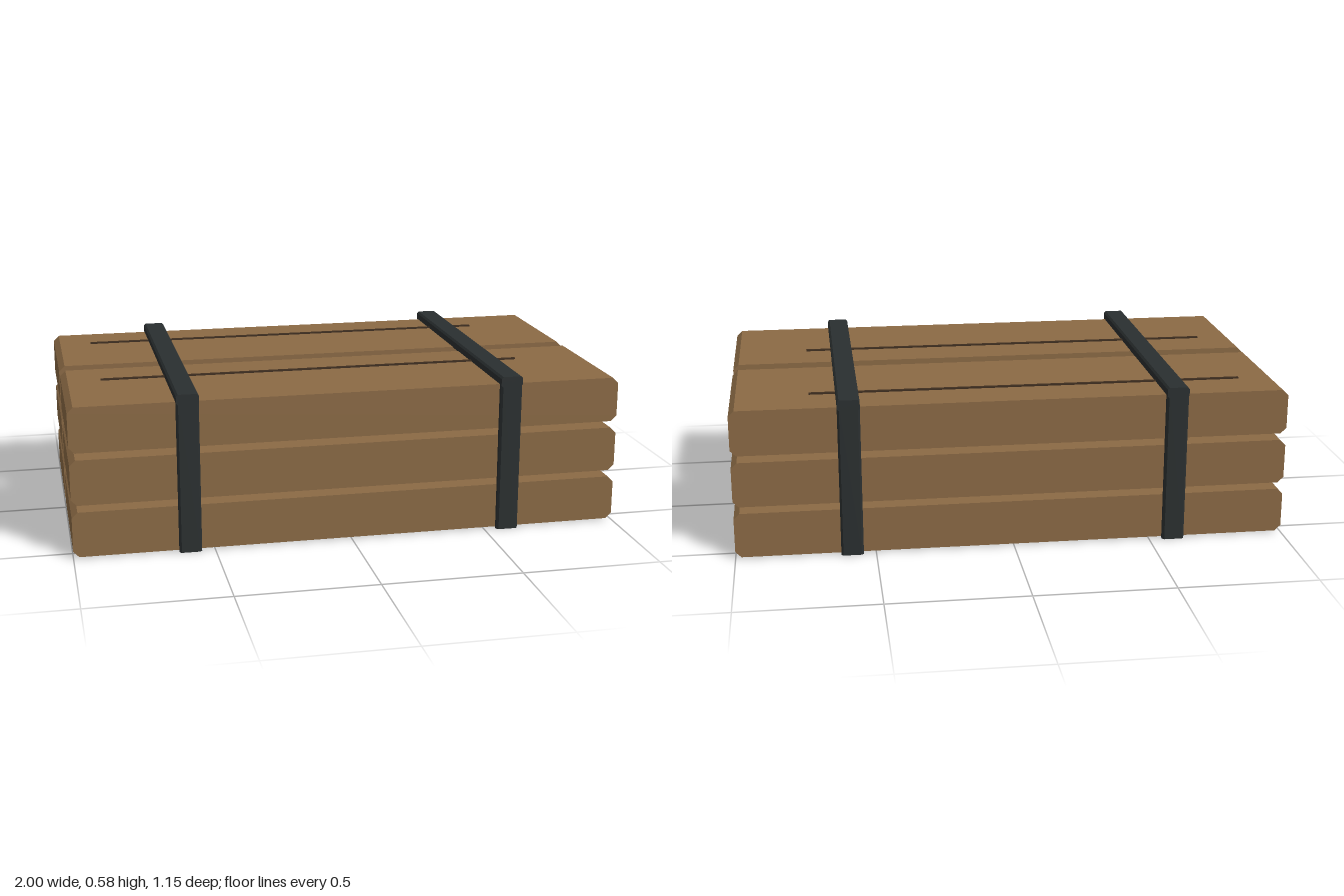
import * as THREE from 'three';

const wood = new THREE.MeshStandardMaterial({ color: 0x8b6a45, flatShading: true });
const crack = new THREE.MeshStandardMaterial({ color: 0x3f2e1f, flatShading: true });
const iron = new THREE.MeshStandardMaterial({ color: 0x2a2f30, flatShading: true });

// Bar with chamfered w x h section, running along z and centred on the origin
function chamferedBar(w, h, length, c) {
  const x = w / 2, y = h / 2;
  const section = new THREE.Shape([
    [-x + c, -y], [x - c, -y], [x, -y + c], [x, y - c],
    [x - c, y], [-x + c, y], [-x, y - c], [-x, -y + c],
  ].map(([a, b]) => new THREE.Vector2(a, b)));
  return new THREE.ExtrudeGeometry(section, { depth: length, bevelEnabled: false })
    .translate(0, 0, -length / 2);
}

export function createModel() {
  const model = new THREE.Group();
  model.name = 'plankStack';

  const add = (name, geometry, material, x, y, z) => {
    const mesh = new THREE.Mesh(geometry, material);
    mesh.name = name;
    mesh.position.set(x, y, z);
    model.add(mesh);
  };

  // Three layers of two planks, each with a dark grain line on top
  const plank = chamferedBar(2, 0.165, 0.518, 0.021);
  const grain = new THREE.BoxGeometry(1.58, 0.012, 0.012);
  for (let layer = 0; layer < 3; layer++) {
    const y = 0.0875 + layer * 0.19;
    for (const side of [-1, 1]) {
      const z = side * 0.294;
      add('plank', plank, wood, 0, y, z);
      add('grainLine', grain, crack, -0.07, y + 0.082, z - 0.09);
    }
  }

  // Two straps: a band across the top and an upright at front and back
  const band = chamferedBar(0.08, 0.038, 1.146, 0.007);
  const upright = chamferedBar(0.08, 0.028, 0.565, 0.007).rotateX(Math.PI / 2);
  for (const x of [-0.588, 0.585]) {
    add('strapTop', band, iron, x, 0.561, 0);
    for (const side of [-1, 1]) add('strapUpright', upright, iron, x, 0.2825, side * 0.559);
  }
  return model;
}
